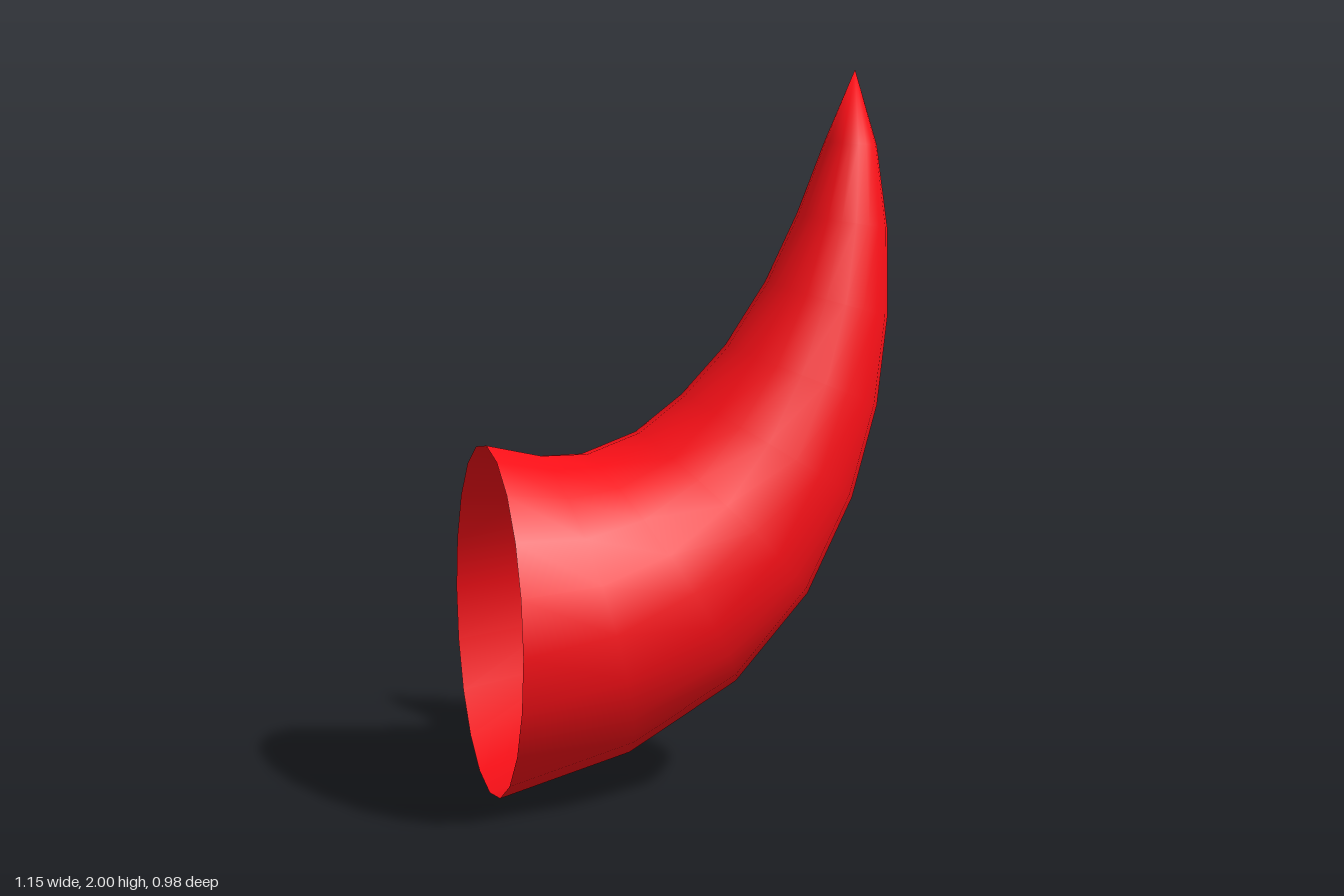
import * as THREE from 'three';

// Outer (convex) and inner (concave) edge of each ring, base to tip, in the xy plane
const OUTER = [[-0.575, 0], [-0.2, 0.105], [0.115, 0.29], [0.33, 0.53], [0.465, 0.8],
  [0.54, 1.06], [0.572, 1.31], [0.572, 1.56], [0.542, 1.79], [0.48, 2]];
const INNER = [[-0.575, 0.98], [-0.42, 0.945], [-0.29, 0.945], [-0.14, 1], [-0.01, 1.1],
  [0.115, 1.235], [0.228, 1.41], [0.318, 1.6], [0.395, 1.8], [0.48, 2]];
const SIDES = 20;

// Skin circular rings spanning the two edges; the base stays open
function hornGeometry() {
  const positions = [], indices = [];
  const last = OUTER.length - 1;
  for (let i = 0; i < last; i++) {
    const outer = new THREE.Vector2(...OUTER[i]);
    const inner = new THREE.Vector2(...INNER[i]);
    const centre = outer.clone().add(inner).multiplyScalar(0.5);
    const arm = inner.clone().sub(centre);
    for (let j = 0; j < SIDES; j++) {
      const a = (j / SIDES) * Math.PI * 2;
      positions.push(
        centre.x + arm.x * Math.cos(a),
        centre.y + arm.y * Math.cos(a),
        arm.length() * Math.sin(a));
    }
  }
  const tip = last * SIDES;
  positions.push(...OUTER[last], 0);

  for (let i = 0; i < last; i++) {
    for (let j = 0; j < SIDES; j++) {
      const k = (j + 1) % SIDES;
      const a = i * SIDES + j, b = i * SIDES + k;
      if (i === last - 1) indices.push(a, b, tip);
      else indices.push(a, b, b + SIDES, a, b + SIDES, a + SIDES);
    }
  }
  const geometry = new THREE.BufferGeometry();
  geometry.setAttribute('position', new THREE.Float32BufferAttribute(positions, 3));
  geometry.setIndex(indices);
  geometry.computeVertexNormals();
  return geometry;
}

export function createModel() {
  const group = new THREE.Group();
  group.name = 'curvedHorn';
  // Hollow horn shell
  const horn = new THREE.Mesh(hornGeometry(),
    new THREE.MeshStandardMaterial({ color: 0xff1018, side: THREE.DoubleSide }));
  horn.name = 'horn';
  group.add(horn);
  return group;
}
